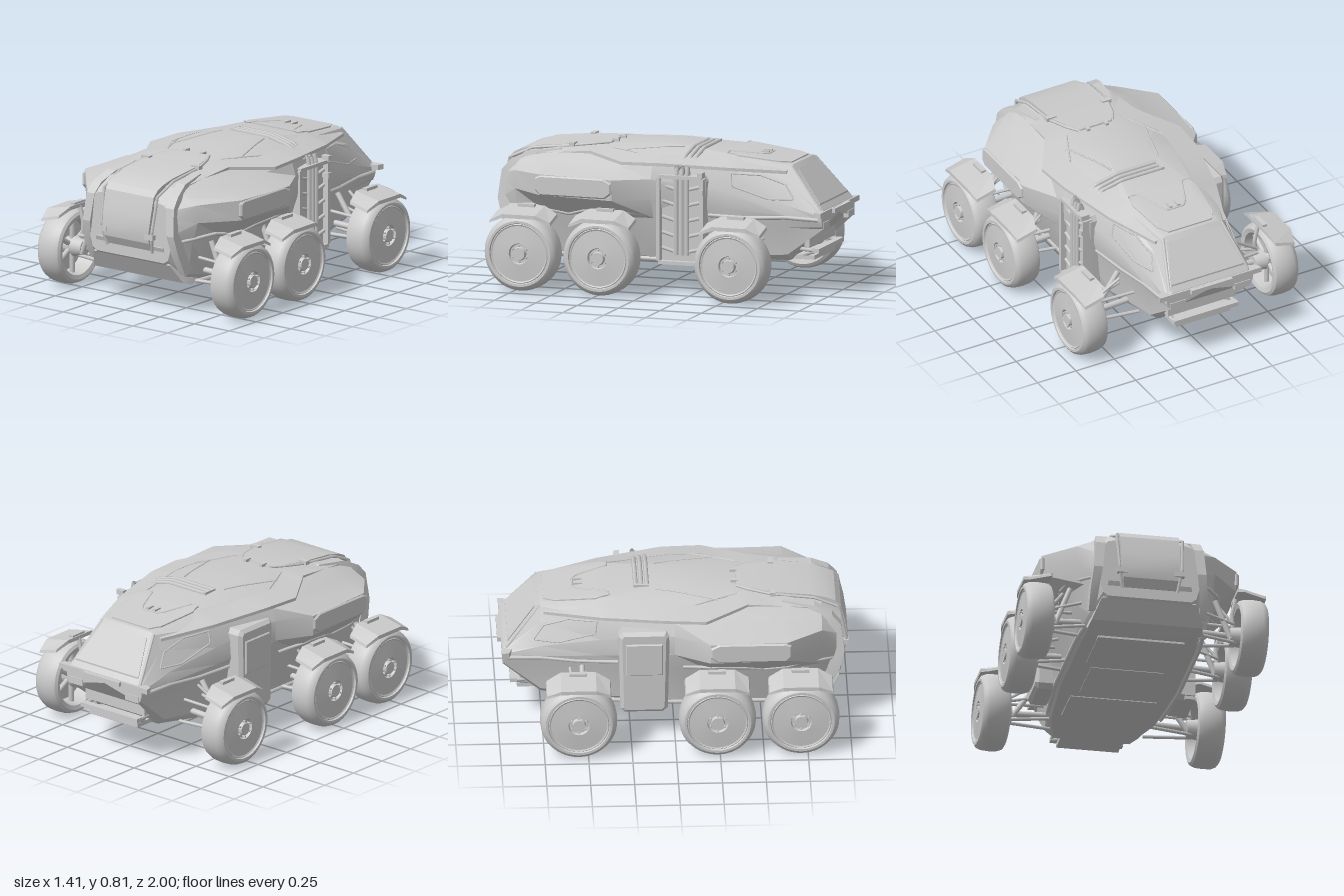
import * as THREE from 'three';
import { toCreasedNormals, mergeVertices } from 'three/addons/utils/BufferGeometryUtils.js';

const V = (x, y, z) => new THREE.Vector3(x, y, z);
const mat = new THREE.MeshStandardMaterial({ color: 0xcccccc, roughness: 0.7 });

// Hull stations: z, then x,y pairs from roof centre panel down to keel
const STATIONS = [
  [-.97, .25, .50, .26, .49, .27, .48, .28, .47, .28, .44, .27, .41, .255, .395, .22, .455],
  [-.76, .17, .745, .20, .735, .24, .65, .30, .53, .31, .47, .29, .40, .27, .24, .22, .20],
  [-.42, .20, .785, .25, .765, .33, .72, .365, .60, .37, .50, .35, .42, .33, .22, .30, .17],
  [0, .12, .815, .30, .78, .43, .735, .455, .66, .45, .54, .41, .43, .36, .20, .33, .165],
  [.20, .14, .805, .30, .775, .40, .715, .565, .66, .56, .54, .44, .43, .36, .20, .33, .165],
  [.64, .20, .77, .28, .755, .38, .715, .565, .67, .56, .55, .43, .43, .36, .20, .33, .165],
  [.84, .20, .735, .27, .72, .32, .69, .40, .655, .40, .55, .36, .42, .33, .24, .30, .20],
  [.95, .20, .66, .24, .65, .27, .62, .29, .57, .30, .48, .29, .40, .27, .33, .24, .31],
];

// Half profile of the hull at any z, as [x, y] pairs
function profile(z) {
  let i = 0;
  while (i < STATIONS.length - 2 && STATIONS[i + 1][0] < z) i++;
  const a = STATIONS[i], b = STATIONS[i + 1];
  const t = THREE.MathUtils.clamp((z - a[0]) / (b[0] - a[0]), 0, 1), out = [];
  for (let k = 1; k < a.length; k += 2) out.push([a[k] + (b[k] - a[k]) * t, a[k + 1] + (b[k + 1] - a[k + 1]) * t]);
  return out;
}
// Read one coordinate of the hull surface from the other
function lookup(p, key, val) {
  const s = key ? -1 : 1;
  if (s * val <= s * p[0][key]) return p[0][1 - key];
  for (let i = 1; i < p.length; i++) {
    if (s * val <= s * p[i][key]) {
      const t = (val - p[i - 1][key]) / (p[i][key] - p[i - 1][key] || 1);
      return p[i - 1][1 - key] + (p[i][1 - key] - p[i - 1][1 - key]) * t;
    }
  }
  return p[p.length - 1][1 - key];
}
const roofY = (x, z) => lookup(profile(z).slice(0, 4), 0, Math.abs(x));
const sideX = (y, z) => lookup(profile(z), 1, y);

// Skin closed rings of points, with end caps
function loft(rings) {
  const pos = [], tri = (...ps) => ps.forEach(p => pos.push(p.x, p.y, p.z));
  const n = rings[0].length;
  for (let i = 0; i + 1 < rings.length; i++) for (let j = 0; j < n; j++) {
    const a = rings[i], b = rings[i + 1], k = (j + 1) % n;
    tri(a[j], a[k], b[k]);
    tri(a[j], b[k], b[j]);
  }
  [rings[0], rings[rings.length - 1]].forEach((r, end) => {
    const c = r.reduce((s, p) => s.add(p), V(0, 0, 0)).divideScalar(n);
    for (let j = 0; j < n; j++) end ? tri(c, r[j], r[(j + 1) % n]) : tri(c, r[(j + 1) % n], r[j]);
  });
  const g = new THREE.BufferGeometry();
  g.setAttribute('position', new THREE.Float32BufferAttribute(pos, 3));
  return toCreasedNormals(mergeVertices(g), 0.35);
}
// Split each segment of a polyline into short steps
function subdivide(pts, steps = 6) {
  const out = [pts[0]];
  for (let i = 1; i < pts.length; i++) for (let s = 1; s <= steps; s++)
    out.push(pts[i].map((v, k) => pts[i - 1][k] + (v - pts[i - 1][k]) * s / steps));
  return out;
}
// Raised plate hugging the roof; rows are [z, halfWidth]
const roofPlate = (rows, h) => loft(subdivide(rows).map(([z, w]) => {
  const ring = [V(w, roofY(w, z) - .015, z)];
  for (let k = 8; k >= -8; k--) ring.push(V(w * k / 8, roofY(w * k / 8, z) + h, z));
  return [...ring, V(-w, roofY(w, z) - .015, z)];
}));
// Overhanging roof edge on side s; rows are [z, x, y] of its outer lip
const roofWing = (rows, s) => loft(subdivide(rows).map(([z, x, y]) => {
  const top = roofY(x - .15, z) + .002;
  const ring = [V(s * x, y - .018, z), V(s * x, y, z), V(s * (x - .15), top, z), V(s * (x - .15), top - .04, z)];
  return s > 0 ? ring : ring.reverse();
}));
// Thick band running over the nose; rows are [x, y, z, halfWidth]
const band = (rows, depth) => loft(rows.map(([x, y, z, w]) => {
  const d = V(0, .45 - y, .3 - z).setLength(depth);
  return [V(x + w, y + d.y, z + d.z), V(x + w, y, z), V(x - w, y, z), V(x - w, y + d.y, z + d.z)];
}));
// Tube through straight segments
function pipe(pts, r, sides = 6, perSegment = 8) {
  const path = new THREE.CurvePath();
  for (let i = 0; i + 1 < pts.length; i++) path.add(new THREE.LineCurve3(pts[i], pts[i + 1]));
  return new THREE.TubeGeometry(path, (pts.length - 1) * perSegment, r, sides);
}
const roofSeam = xz => pipe(subdivide(xz).map(([x, z]) => V(x, roofY(x, z) + .001, z)), .005, 6, 2);
const sideSeam = (zy, s, r = .005) => pipe(subdivide(zy).map(([z, y]) => V(s * sideX(y, z), y, z)), r, 6, 2);
// Outline in z,y extruded along x from x0 to x1
function sideSlab(zy, x0, x1, bevel = 0) {
  const shape = new THREE.Shape(zy.map(([z, y]) => new THREE.Vector2(-z, y)));
  const g = new THREE.ExtrudeGeometry(shape, { depth: x1 - x0 - 2 * bevel, bevelEnabled: bevel > 0, bevelSize: bevel, bevelThickness: bevel, bevelSegments: 1, bevelOffset: -bevel });
  return g.rotateY(Math.PI / 2).translate(x0 + bevel, 0, 0);
}

export function createModel() {
  const model = new THREE.Group();
  const add = (name, geo, parent = model) => {
    const m = new THREE.Mesh(geo, mat);
    m.name = name;
    parent.add(m);
  };
  const box = (name, w, h, d, x, y, z, parent) => add(name, new THREE.BoxGeometry(w, h, d).translate(x, y, z), parent);

  // Hull
  add('hull', loft(STATIONS.map(([z]) => {
    const p = profile(z);
    return [...p].reverse().map(([x, y]) => V(x, y, z)).concat(p.map(([x, y]) => V(-x, y, z)));
  })));

  // Windscreen, its surround and the front skirt
  add('windscreen', band([[0, .802, .36, .10], [0, .80, .42, .14], [0, .789, .56, .18], [0, .767, .78, .18], [0, .742, .88, .175],
    [0, .72, .925, .175], [0, .685, .955, .172], [0, .58, .98, .17], [0, .48, .995, .165], [0, .42, .985, .16], [0, .37, .955, .15]], .05));
  add('chin', band([[0, .40, .96, .24], [0, .31, .925, .26]], .06));
  add('frontSkirt', band([[0, .315, .935, .26], [0, .30, .94, .275], [0, .19, .87, .32], [0, .168, .80, .33]], .06));
  for (const s of [1, -1]) {
    add('windscreenRail', pipe([V(s * .11, .797, .36), V(s * .15, .793, .43), V(s * .19, .78, .56), V(s * .195, .755, .80), V(s * .19, .69, .945),
      V(s * .18, .48, .985), V(s * .16, .36, .955)], .009));
    add('frontPillar', band([[s * .235, .77, .62, .015], [s * .25, .75, .80, .03], [s * .275, .70, .90, .03], [s * .285, .64, .95, .028],
      [s * .30, .48, .97, .026], [s * .315, .36, .94, .024], [s * .32, .24, .88, .02]], .07));
    box('frontLatch', .06, .03, .03, s * .165, .46, .982);
    box('roofLatch', .06, .022, .03, s * .18, .787, .565);
    box('screenHinge', .02, .02, .04, s * .06, .80, .35);
    // Roof edge, seams and side cladding
    add('roofWing', roofWing([[-.74, .23, .715], [-.42, .35, .735], [-.05, .435, .753], [.18, .45, .75], [.42, .30, .775], [.80, .275, .735]], s));
    add('roofSeam', roofSeam([[s * .15, -.1], [s * .20, .08], [s * .25, .25]]));
    add('roofSeam', roofSeam([[s * .30, .12], [s * .19, .36]]));
    add('sidePanel', sideSlab([[.66, .58], [.63, .55], [.24, .55], [.20, .58], [.20, .64], [.25, .665], [.63, .665], [.66, .65]],
      s > 0 ? .55 : -.575, s > 0 ? .575 : -.55, .008));
    add('rearWindow', sideSeam([[-.44, .70], [-.60, .69], [-.74, .64], [-.80, .56], [-.66, .56], [-.45, .63], [-.44, .70]], s));
    add('beltSeam', sideSeam([[-.32, .46], [-.55, .45], [-.76, .46], [-.95, .45]], s, .012));
    add('archSeam', sideSeam([[.90, .44], [.72, .47], [.5, .43], [.40, .46], [.24, .48], [.05, .45]], s, .01));
    add('sill', pipe([V(s * .34, .185, .78), V(s * .355, .185, .62), V(s * .355, .185, 0), V(s * .325, .19, -.38)], .014));
    // Tail corner
    add('tailCorner', pipe([V(s * .19, .735, -.76), V(s * .255, .50, -.955)], .010));
    box('tailLamp', .10, .04, .03, s * .21, .415, -.96);
    add('bumperStay', pipe([V(s * .2, .27, -.75), V(s * .2, .26, -.91), V(s * .16, .22, -.80)], .012));
  }

  // Roof plates, rear glass and hatch
  add('rearHatch', roofPlate([[-.74, .14], [-.68, .18], [-.44, .21], [-.37, .19]], .008));
  add('rearGlass', roofPlate([[-.945, .235], [-.79, .165]], .010));
  add('hatchRecess', pipe([[-.20, -.37], [-.15, -.37], [-.08, -.54], [-.05, -.57], [.05, -.57], [.08, -.54], [.15, -.37], [.20, -.37]]
    .map(([x, z]) => V(x, roofY(x, z) + .008, z)), .006));
  for (const x of [-.025, .025]) box('hatchHinge', .018, .02, .05, x, roofY(x, -.54) + .008, -.54);

  // Tail lip, lamp strip, inner panel and bumper
  const lip = new THREE.Shape([[-.33, .98], [-.32, .94], [-.27, .92], [.27, .92], [.32, .94], [.33, .98]].map(([x, y]) => new THREE.Vector2(x, y)));
  add('tailLip', new THREE.ExtrudeGeometry(lip, { depth: .03, bevelEnabled: false }).rotateX(-Math.PI / 2).translate(0, .468, 0));
  box('tailLampStrip', .27, .025, .03, 0, .485, -.985);
  box('tailInnerPanel', .44, .14, .03, 0, .35, -.86);
  box('rearBumper', .42, .025, .04, 0, .26, -.91);
  box('rearStep', .36, .025, .14, 0, .215, -.82);

  // Ribbed bay on the left, with rails that run over the roof
  const bay = [[-.03, .66], [-.05, .69], [-.30, .69], [-.32, .66], [-.31, .20], [-.29, .175], [-.07, .175], [-.04, .20]];
  add('bayBack', sideSlab(bay, .34, .425, .01));
  for (const z of [-.045, -.305]) box('bayFrame', .06, .48, .022, .43, .435, z);
  for (const y of [.185, .68]) box('bayFrame', .06, .02, .26, .43, y, -.175);
  for (let i = 0; i < 5; i++) {
    const y = .25 + i * .09;
    add('bayRib', pipe([V(.43, y + .02, -.06), V(.43, y, -.13)], .011));
    add('bayRib', pipe([V(.43, y, -.22), V(.43, y + .02, -.295)], .011));
  }
  for (const z of [-.148, -.18, -.212]) {
    const over = [-.11, 0, .15, .28, .40].map(x => V(x, roofY(x, z) + .003, z));
    add('roofRail', pipe([...over, V(.425, .74, z), V(.438, .68, z), V(.438, .23, z)], .013));
  }
  box('railEnd', .02, .025, .09, -.11, roofY(.11, -.18), -.18);
  for (const y of [.60, .70]) box('bayHinge', .05, .03, .03, .445, y, -.30);

  // Plain locker on the right
  add('locker', sideSlab(bay, -.465, -.34, .02));
  add('lockerLid', sideSlab([[-.07, .62], [-.28, .62], [-.28, .42], [-.07, .42]], -.473, -.45, .006));

  // Belly plates
  for (const [z, w, d] of [[.52, .5, .36], [.12, .42, .34], [-.24, .5, .26]]) box('bellyPlate', w, .012, d, 0, .168, z);

  // Wheels with fenders and suspension
  const turned = pts => new THREE.LatheGeometry(pts.map(([r, x]) => new THREE.Vector2(r, x)), 48).rotateZ(-Math.PI / 2);
  const tyre = toCreasedNormals(turned([[.165, -.075], [.19, -.082], [.207, -.072], [.217, -.045], [.22, 0], [.217, .045], [.207, .068], [.19, .08], [.176, .08], [.172, .07]]), .6);
  const rim = toCreasedNormals(turned([[0, -.05], [.04, -.05], [.05, .01], [.15, .02], [.165, -.075], [.172, -.06],
    [.176, .066], [.168, .074], [.16, .07], [.06, .078], [.055, .06], [.04, .06], [.035, .082], [0, .082]]), .4);
  // Fender slopes down outward and narrows toward its ends
  const fender = sideSlab([[.185, .18], [.18, .197], [.10, .237], [-.10, .237], [-.18, .197], [-.185, .18], [-.10, .215], [.10, .215]], -.085, .08);
  const fp = fender.attributes.position;
  for (let i = 0; i < fp.count; i++) {
    const x = fp.getX(i);
    fp.setY(i, fp.getY(i) + (x > 0 ? -.012 : .022));
    if (Math.abs(fp.getZ(i)) > .15) fp.setX(i, x * .75);
  }
  fender.computeVertexNormals();

  for (const s of [1, -1]) for (const z of [.71, .235, -.555]) {
    const wheel = new THREE.Group();
    wheel.name = 'wheel';
    wheel.position.set(s * .622, .228, z);
    wheel.rotation.y = s > 0 ? 0 : Math.PI;
    model.add(wheel);
    add('tyre', tyre, wheel);
    add('rim', rim, wheel);
    for (let i = 0; i < 6; i++) {
      const c = Math.cos(i * Math.PI / 3), n = Math.sin(i * Math.PI / 3);
      add('hubBolt', new THREE.CylinderGeometry(.006, .006, .02, 6).rotateZ(Math.PI / 2).translate(.07, .047 * c, .047 * n), wheel);
      add('innerSpoke', pipe([V(-.02, .04 * c, .04 * n), V(-.02, .16 * c, .16 * n)], .016), wheel);
    }
    add('hubCarrier', new THREE.CylinderGeometry(.05, .06, .07, 16).rotateZ(Math.PI / 2).translate(-.08, 0, 0), wheel);
    add('fender', fender, wheel);
    box('fenderClamp', .03, .02, .10, -.06, .258, 0, wheel);
    add('fenderStay', pipe([V(-.09, .02, 0), V(-.10, .14, 0), V(-.075, .245, 0)], .012), wheel);
    // Wishbones, axle and damper
    const inner = z < 0 ? .27 : .34;
    add('axle', pipe([V(s * inner, .24, z), V(s * .55, .23, z)], .018, 10));
    for (const dz of [-.07, .07]) {
      add('lowerArm', pipe([V(s * inner, .19, z + dz), V(s * .54, .185, z + dz * .3)], .011));
      add('upperArm', pipe([V(s * (inner + .02), .33, z + dz), V(s * .53, .30, z + dz * .3)], .010));
    }
    add('damper', pipe([V(s * (inner + .08), .43, z + .03), V(s * .51, .20, z + .03)], .016, 10));
    add('damperRod', pipe([V(s * (inner + .11), .43, z - .04), V(s * .525, .33, z - .02)], .009));
  }
  return model;
}
